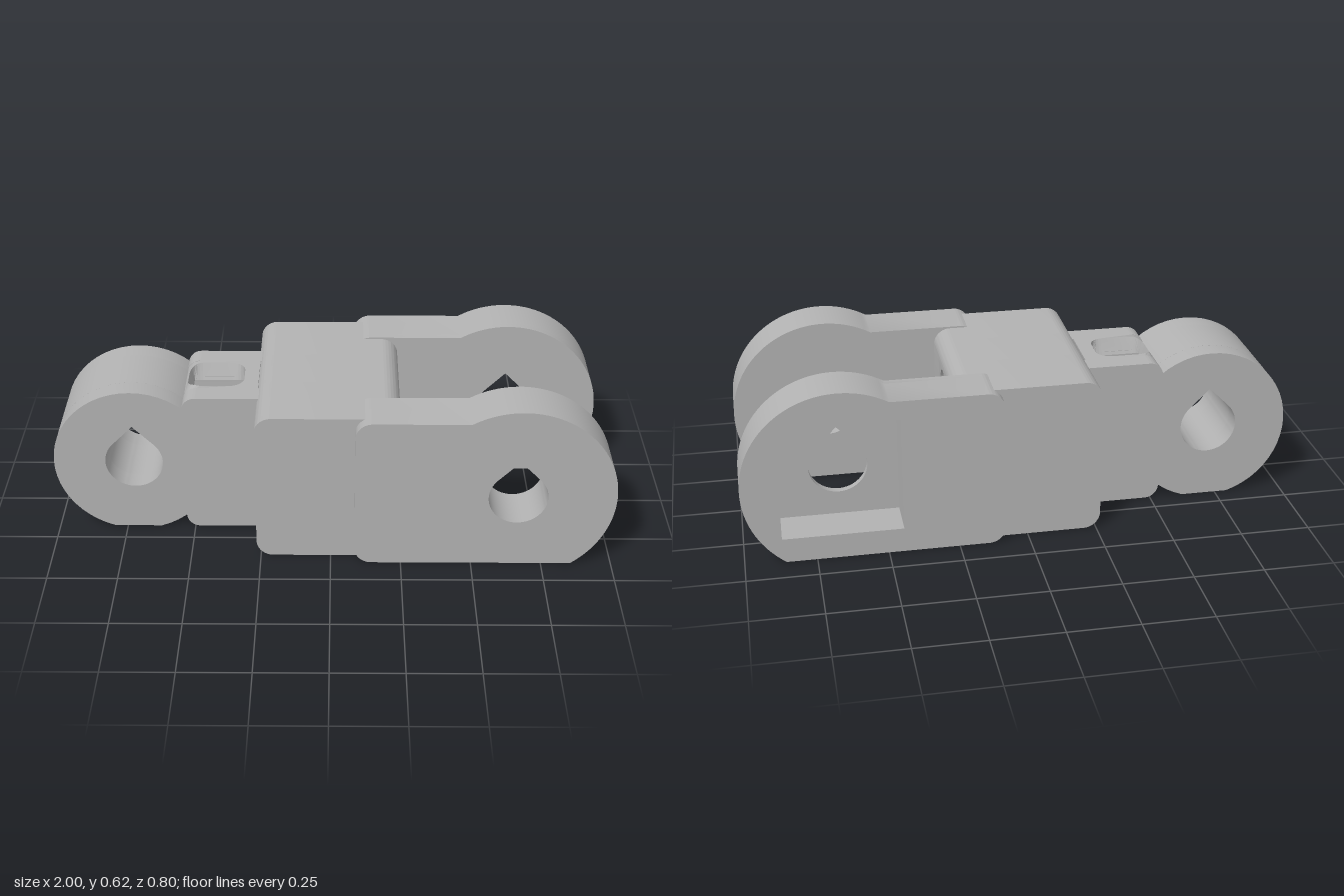
import * as THREE from 'three';
import { toCreasedNormals } from 'three/addons/utils/BufferGeometryUtils.js';

const PI = Math.PI;

// Rounded rectangle in x/y; r = radii of the left and right, bottom and top corners
function roundRect(x0, y0, x1, y1, { lb = 0, rb = 0, rt = 0, lt = 0 } = {}, Type = THREE.Shape) {
  const s = new Type();
  s.moveTo(x0 + lb, y0);
  s.lineTo(x1 - rb, y0);
  if (rb) s.absarc(x1 - rb, y0 + rb, rb, -PI / 2, 0, false);
  s.lineTo(x1, y1 - rt);
  if (rt) s.absarc(x1 - rt, y1 - rt, rt, 0, PI / 2, false);
  s.lineTo(x0 + lt, y1);
  if (lt) s.absarc(x0 + lt, y1 - lt, lt, PI / 2, PI, false);
  s.lineTo(x0, y0 + lb);
  if (lb) s.absarc(x0 + lb, y0 + lb, lb, PI, 1.5 * PI, false);
  return s;
}

// Pin hole with a pointed top
function teardrop(x, y, r) {
  const p = new THREE.Path();
  p.moveTo(x - r * Math.SQRT1_2, y + r * Math.SQRT1_2);
  p.absarc(x, y, r, 0.75 * PI, 2.25 * PI, false);
  p.lineTo(x, y + r * Math.SQRT2);
  p.closePath();
  return p;
}

function extrude(shape, depth) {
  return new THREE.ExtrudeGeometry(shape, { depth, bevelEnabled: false, curveSegments: 24 });
}

export function createModel() {
  const model = new THREE.Group();
  model.name = 'chainLink';
  const grey = new THREE.MeshStandardMaterial({ color: 0xb2b2b2 });
  grey.name = 'grey';

  function add(name, geometry) {
    const mesh = new THREE.Mesh(toCreasedNormals(geometry, 0.5), grey);
    mesh.name = name;
    model.add(mesh);
    return mesh;
  }
  const alongZ = (name, shape, z0, z1) => add(name, extrude(shape, z1 - z0).translate(0, 0, z0));
  const alongX = (name, shape, x0, x1) =>
    add(name, extrude(shape, x1 - x0).rotateY(PI / 2).translate(x0, 0, 0));

  // Fork arms: straight bar ending in a round eye with a flat foot
  const cx = 0.655, cy = 0.28, R = 0.345, armTop = 0.578;
  function armShape(hole) {
    const s = new THREE.Shape();
    const dx = Math.sqrt(R * R - cy * cy);
    const tx = -Math.sqrt(R * R - (armTop - cy) ** 2);
    s.moveTo(0.145, 0);
    s.lineTo(cx + dx, 0);
    s.absarc(cx, cy, R, Math.atan2(-cy, dx), Math.atan2(armTop - cy, tx), false);
    s.lineTo(0.145, armTop);
    s.absarc(0.145, armTop - 0.06, 0.06, PI / 2, PI, false);
    s.lineTo(0.085, 0.06);
    s.absarc(0.145, 0.06, 0.06, PI, 1.5 * PI, false);
    s.holes.push(hole);
    return s;
  }
  const pinHole = teardrop(cx, cy, 0.104);
  const pocket = roundRect(0.445, 0.09, 0.868, 0.51, {}, THREE.Path);
  alongZ('frontArm', armShape(pinHole), 0.22, 0.398);
  alongZ('backArmPocket', armShape(pocket), -0.398, -0.245);
  alongZ('backArmWeb', armShape(pinHole), -0.245, -0.22);

  // Body and neck sides, either side of the cable channels
  const mid = 0.1;
  const r = 0.06;
  const bodyShape = roundRect(-0.265, 0, 0.245, 0.572, { lb: r, rb: r, rt: r, lt: r });
  const neckShape = roundRect(-0.53, 0, -0.24, 0.545, { lb: 0.05, lt: 0.05 });
  for (const side of [-1, 1]) {
    const span = (a, b) => (side > 0 ? [a, b] : [-b, -a]);
    alongZ('bodySide', bodyShape, ...span(mid, 0.355));
    alongZ('neckSide', neckShape, ...span(mid, 0.175));
  }
  alongZ('bodyTop', roundRect(-0.265, 0.5, 0.245, 0.572, { rt: r, lt: r }), -mid, mid);
  alongZ('bodyBottom', roundRect(-0.265, 0, 0.245, 0.045, { lb: 0.045, rb: 0.045 }), -mid, mid);

  // Core with two round cable channels
  const half = 0.2725, offset = 0.165, bore = 0.0615;
  const core = roundRect(-mid, 0.045, mid, 0.5);
  for (const s of [-1, 1]) {
    const hole = new THREE.Path();
    hole.absarc(0, half + s * offset, bore, 0, 2 * PI, false);
    core.holes.push(hole);
  }
  alongX('channelCore', core, -0.315, 0.245);

  // Neck core where the channels open upward and downward
  const open = new THREE.Shape();
  open.moveTo(-mid, 0.045);
  open.lineTo(-bore, 0.045);
  open.lineTo(-bore, half - offset);
  open.absarc(0, half - offset, bore, PI, 0, true);
  open.lineTo(bore, 0.045);
  open.lineTo(mid, 0.045);
  open.lineTo(mid, 0.5);
  open.lineTo(bore, 0.5);
  open.lineTo(bore, half + offset);
  open.absarc(0, half + offset, bore, 0, PI, true);
  open.lineTo(-bore, 0.5);
  open.lineTo(-mid, 0.5);
  alongX('neckCore', open, -0.51, -0.315);

  // Neck caps with a flared slot and a rounded outer edge
  for (const flip of [false, true]) {
    const s = new THREE.Shape();
    const xs = [-0.53, -0.522, -0.505, -0.48, -0.26];
    xs.forEach((x, i) => (i ? s.lineTo(x, -mid) : s.moveTo(x, -mid)));
    xs.slice().reverse().forEach((x) => s.lineTo(x, mid));
    const q = 0.055;
    s.holes.push(roundRect(-0.515, -0.085, -0.312, 0.085, { lb: q, rb: q, rt: q, lt: q }, THREE.Path));
    const g = extrude(s, 1).rotateX(-PI / 2);
    const p = g.attributes.position;
    for (let i = 0; i < p.count; i++) {
      const x = p.getX(i), z = p.getZ(i);
      if (p.getY(i) > 0.5) {
        const d = Math.max(0, -0.48 - x);
        p.setY(i, 0.545 - 0.05 + Math.sqrt(Math.max(0, 0.0025 - d * d)));
      } else {
        p.setY(i, 0.488);
        if (Math.abs(z) < 0.09) {
          p.setX(i, THREE.MathUtils.clamp(x, -0.5, -0.315));
          p.setZ(i, THREE.MathUtils.clamp(z, -0.056, 0.056));
        }
      }
    }
    g.computeVertexNormals();
    if (flip) g.rotateX(PI).translate(0, 2 * half, 0);
    add(flip ? 'neckBottomCap' : 'neckTopCap', g);
  }

  // Single eye; its middle layer stops short of the channels
  const ex = -0.71, ey = 0.277, er = 0.29;
  function eyeShape(clipX) {
    const s = new THREE.Shape();
    const fx = Math.sqrt(er * er - ey * ey);
    const foot = Math.atan2(-ey, fx);
    if (clipX === undefined) {
      s.absarc(ex, ey, er, foot, 3 * PI / 2 - (foot + PI / 2), false);
    } else {
      const a = Math.acos((clipX - ex) / er);
      s.absarc(ex, ey, er, a, PI - foot, false);
      s.lineTo(ex + fx, 0);
      s.absarc(ex, ey, er, foot, -a, false);
    }
    s.closePath();
    s.holes.push(teardrop(ex, 0.28, 0.104));
    return s;
  }
  alongZ('eyeBackLayer', eyeShape(), -0.175, -mid);
  alongZ('eyeMiddleLayer', eyeShape(-0.505), -mid, mid);
  alongZ('eyeFrontLayer', eyeShape(), mid, 0.175);

  return model;
}
